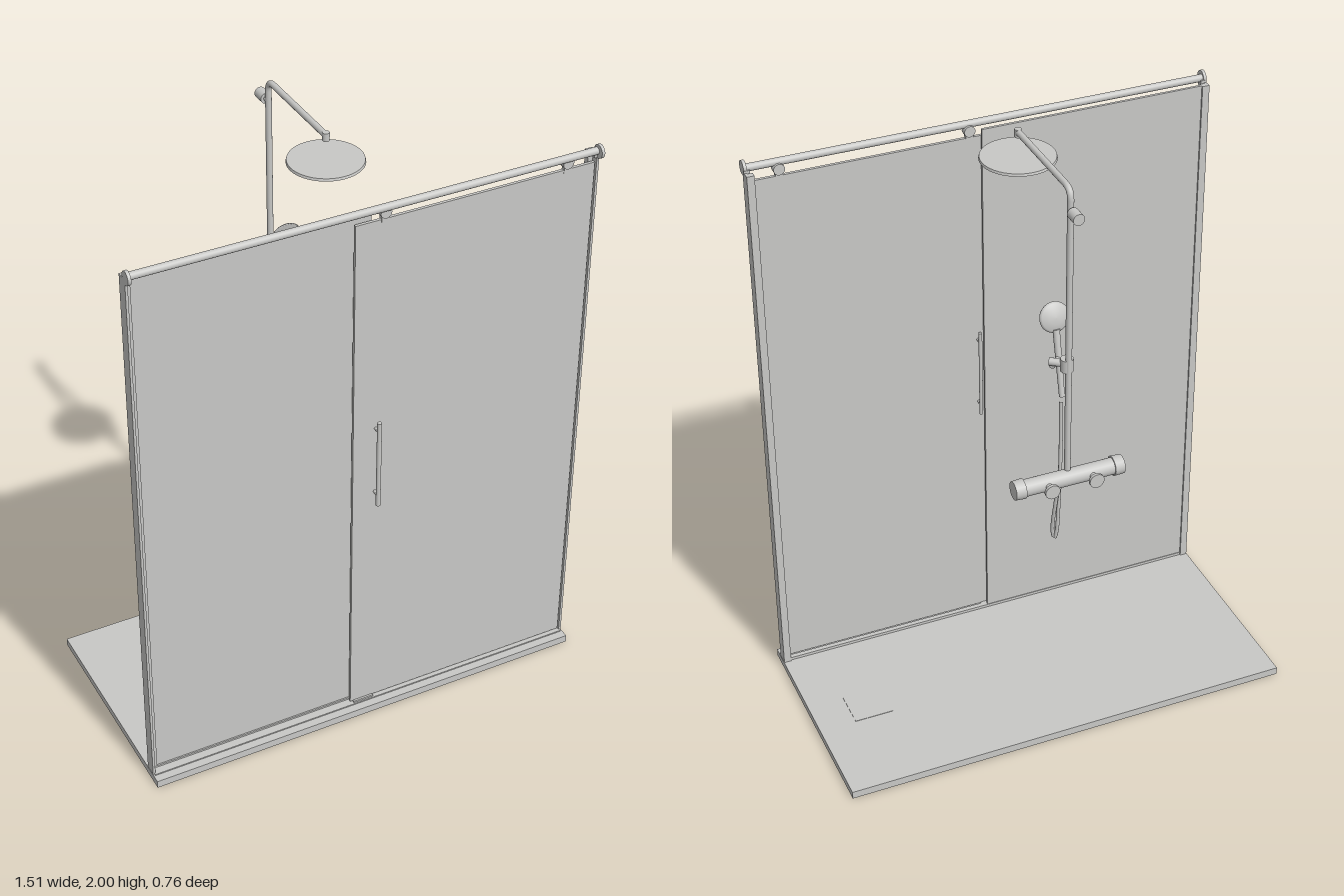
import * as THREE from 'three';

export function createModel() {
  const group = new THREE.Group();
  const grey = new THREE.MeshStandardMaterial({ color: 0xc8c8c6 });
  grey.name = 'satin grey';

  const add = (name, geometry) => {
    const mesh = new THREE.Mesh(geometry, grey);
    mesh.name = name;
    group.add(mesh);
    return mesh;
  };
  // box from its limits on each axis
  const box = (name, x0, x1, y0, y1, z0, z1) =>
    add(name, new THREE.BoxGeometry(x1 - x0, y1 - y0, z1 - z0))
      .position.set((x0 + x1) / 2, (y0 + y1) / 2, (z0 + z1) / 2);
  // round bar between two points
  const rod = (name, a, b, r0, r1 = r0, sides = 24) => {
    const p = new THREE.Vector3(...a), q = new THREE.Vector3(...b);
    const d = q.clone().sub(p);
    const mesh = add(name, new THREE.CylinderGeometry(r1, r0, d.length(), sides));
    mesh.position.copy(p).add(q).multiplyScalar(0.5);
    mesh.quaternion.setFromUnitVectors(new THREE.Vector3(0, 1, 0), d.normalize());
    return mesh;
  };

  // tray with its square drain cover
  box('tray', -0.757, 0.757, 0, 0.026, -0.378, 0.378);
  box('drainCover', 0.505, 0.635, 0.025, 0.0275, -0.07, 0.063);

  // glass screen: fixed panel behind, sliding door in front
  box('fixedPanel', -0.74, 0.012, 0.034, 1.88, 0.308, 0.317);
  box('slidingDoor', -0.05, 0.745, 0.034, 1.85, 0.328, 0.338);
  box('floorRail', -0.752, 0.752, 0.025, 0.036, 0.306, 0.322);
  box('floorGuide', -0.04, 0.03, 0.025, 0.036, 0.322, 0.345);
  box('frontSill', -0.752, 0.752, 0.025, 0.03, 0.322, 0.35);

  // end posts, rail sockets
  for (const s of [-1, 1]) {
    const span = (a, b) => (s > 0 ? [a, b] : [-b, -a]);
    box('wallPost', ...span(0.732, 0.756), 0.026, 1.88, 0.302, 0.321);
    box('postFlange', ...span(0.748, 0.756), 0.026, 1.88, 0.321, 0.343);
    rod('railSocket', [s * 0.747, 1.89, 0.348], [s * 0.757, 1.89, 0.348], 0.022);
    box('railBracket', ...span(0.738, 0.756), 1.868, 1.888, 0.325, 0.345);
  }
  rod('topRail', [-0.755, 1.89, 0.342], [0.755, 1.89, 0.342], 0.012);

  // door hangers
  for (const x of [0.045, 0.65]) {
    rod('hangerRoller', [x, 1.872, 0.322], [x, 1.872, 0.345], 0.018);
    box('hangerClip', x - 0.012, x + 0.012, 1.84, 1.872, 0.326, 0.34);
  }

  // door handle on both faces
  rod('frontHandle', [0.026, 0.843, 0.362], [0.026, 1.155, 0.362], 0.0075);
  rod('backHandle', [0.026, 0.843, 0.308], [0.026, 1.155, 0.308], 0.006);
  for (const y of [0.88, 1.12])
    rod('handleStandoff', [0.026, y, 0.308], [0.026, y, 0.362], 0.005);

  // riser pipe bending into the overhead arm
  const pipe = new THREE.CurvePath();
  const V = (x, y, z) => new THREE.Vector3(x, y, z);
  pipe.add(new THREE.LineCurve3(V(0, 1.0, -0.318), V(0, 1.955, -0.318)));
  pipe.add(new THREE.QuadraticBezierCurve3(V(0, 1.955, -0.318), V(0, 1.99, -0.318), V(0, 1.99, -0.283)));
  pipe.add(new THREE.LineCurve3(V(0, 1.99, -0.283), V(0, 1.99, 0.058)));
  add('riserPipe', new THREE.TubeGeometry(pipe, 160, 0.01, 16));
  rod('armOutlet', [0, 1.974, 0.058], [0, 2.0, 0.058], 0.011);
  rod('overheadDisc', [0, 1.905, 0.058], [0, 1.913, 0.058], 0.117, 0.115, 48);
  rod('wallMount', [0, 1.922, -0.333], [0, 1.922, -0.377], 0.018);
  rod('wallMountStem', [0, 1.922, -0.315], [0, 1.922, -0.34], 0.009);

  // mixer valve with end knobs and wall inlets
  rod('valveBody', [-0.15, 1, -0.323], [0.15, 1, -0.323], 0.027);
  for (const s of [-1, 1]) {
    rod('valveKnob', [s * 0.147, 1, -0.323], [s * 0.18, 1, -0.323], 0.032, 0.03);
    rod('inlet', [s * 0.073, 1, -0.323], [s * 0.073, 1, -0.372], 0.012);
    rod('inletFlange', [s * 0.073, 1, -0.368], [s * 0.073, 1, -0.378], 0.024);
  }

  // slider and angled hand shower holder
  rod('slider', [0, 1.378, -0.306], [0, 1.42, -0.306], 0.02);
  rod('holderKnob', [0.005, 1.4, -0.3], [0.042, 1.4, -0.272], 0.012);
  rod('holderClip', [0.036, 1.385, -0.276], [0.004, 1.385, -0.252], 0.01);

  // hand shower, leaning forward at the top
  rod('handShowerGrip', [0, 1.265, -0.273], [0, 1.475, -0.226], 0.009, 0.011);
  const profile = [[0, -0.011], [0.02, -0.01], [0.042, -0.002], [0.048, 0.004], [0.046, 0.009], [0, 0.009]];
  const head = add('handShowerHead', new THREE.LatheGeometry(profile.map(p => new THREE.Vector2(...p)), 32));
  head.position.set(0, 1.51, -0.216);
  head.quaternion.setFromUnitVectors(V(0, 1, 0), V(0, -0.29, 0.957).normalize());

  // hose looping below the valve
  const hose = new THREE.CatmullRomCurve3([
    V(0, 1.243, -0.267), V(0, 1.05, -0.267), V(0.004, 0.86, -0.265), V(0.008, 0.75, -0.26),
    V(0.013, 0.725, -0.255), V(0.018, 0.75, -0.252), V(0.018, 0.86, -0.27), V(0.012, 0.97, -0.292),
    V(0.01, 0.99, -0.305),
  ]);
  add('hose', new THREE.TubeGeometry(hose, 80, 0.006, 12));

  return group;
}
